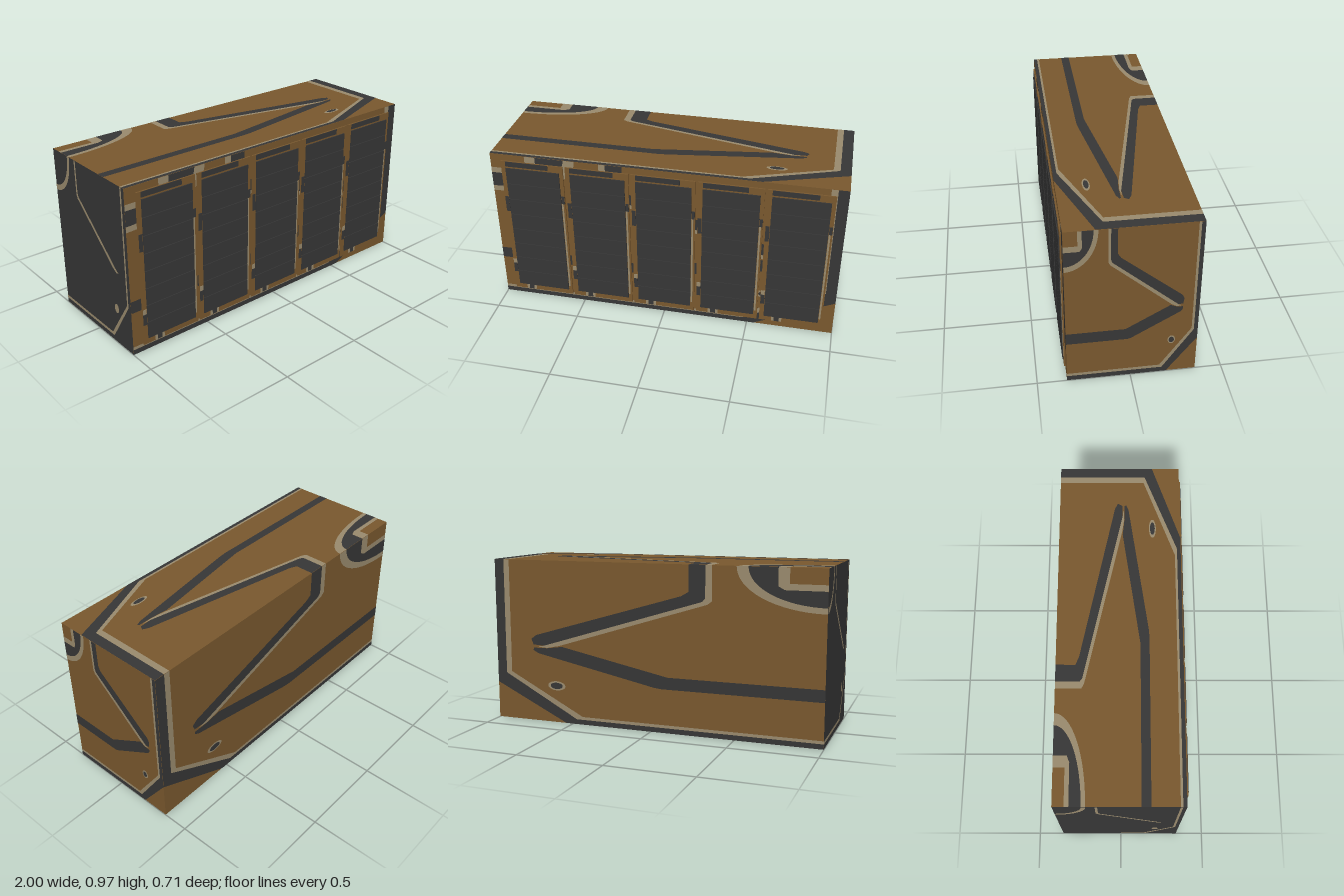
import * as THREE from 'three';

const W = 2, H = 0.97, BACK = -0.355, FRONT = 0.34;
const D = FRONT - BACK, ZC = (FRONT + BACK) / 2;

const mat = (name, color) => {
  const m = new THREE.MeshStandardMaterial({ color });
  m.name = name;
  return m;
};

// Quarter of an ellipse hanging from the upper left corner of a face
const arc = (r, n = 16) => Array.from({ length: n + 1 }, (_, i) => {
  const a = (i / n) * Math.PI / 2;
  return [r * Math.sin(a), 1 - r * Math.cos(a)];
});
const ring = (r0, r1) => [...arc(r1), ...arc(r0).reverse()];
const oval = (r) => Array.from({ length: 20 }, (_, i) => {
  const a = (i / 20) * Math.PI * 2;
  return [0.8 + r * Math.cos(a), 0.23 + r * Math.sin(a)];
});

// Painted pattern in unit coordinates of a face: [name, colour, layer, outline]
const PATTERN = [
  ['arcOuter', 'tan', 1, ring(0.215, 0.248)],
  ['arcInner', 'dark', 1, arc(0.215).concat([[0.133, 1], [0.133, 0.895], [0.115, 0.875], [0, 0.875]])],
  ['cornerBracket', 'tan', 1, [[0, 0.875], [0.115, 0.875], [0.133, 0.895], [0.133, 1], [0.102, 1], [0.102, 0.91], [0, 0.91]]],
  ['chevronUpper', 'dark', 1, [[0.336, 1], [0.384, 1], [0.384, 0.845], [0.406, 0.818], [0.865, 0.54],
    [0.882, 0.515], [0.875, 0.48], [0.84, 0.476], [0.345, 0.79], [0.336, 0.81]]],
  ['chevronEdge', 'tan', 1, [[0.317, 1], [0.317, 0.795], [0.33, 0.775], [0.79, 0.48], [0.83, 0.463],
    [0.862, 0.468], [0.84, 0.476], [0.345, 0.79], [0.336, 0.81], [0.336, 1]]],
  ['chevronLower', 'dark', 1, [[0, 0.336], [0.446, 0.336], [0.78, 0.476], [0.83, 0.461], [0.874, 0.46],
    [0.876, 0.445], [0.86, 0.427], [0.49, 0.27], [0.465, 0.264], [0, 0.264]]],
  ['border', 'dark', 1, [[0, 0], [0.77, 0], [1, 0.228], [1, 1], [0.97, 1], [0.97, 0.29], [0.735, 0.03], [0, 0.03]]],
  ['borderEdge', 'tan', 1, [[0, 0.03], [0.735, 0.03], [0.97, 0.29], [0.97, 1], [0.952, 1], [0.952, 0.3], [0.715, 0.048], [0, 0.048]]],
  ['ovalRing', 'tan', 1, oval(0.029)],
  ['ovalCore', 'dark', 2, oval(0.02)],
];

export function createModel() {
  const root = new THREE.Group();
  root.name = 'container';
  const M = {
    brown: mat('brown paint', 0x79582e),
    dark: mat('dark grey paint', 0x363636),
    tan: mat('pale tan paint', 0x998a6d),
  };

  // Main box; its left-hand end is dark
  const body = new THREE.Mesh(new THREE.BoxGeometry(W, H, D),
    [M.brown, M.dark, M.brown, M.brown, M.brown, M.brown]);
  body.name = 'body';
  body.position.set(0, H / 2, ZC);
  root.add(body);

  // Painted stripes on every face
  function paint(name, w, h, pos, rot, mirror, onlyTan) {
    const g = new THREE.Group();
    g.name = name;
    g.position.set(...pos);
    g.rotation.set(...rot);
    for (const [part, color, layer, pts] of PATTERN) {
      if (onlyTan && (color !== 'tan' || part === 'cornerBracket')) continue;
      const shape = new THREE.Shape(pts.map(([u, v]) =>
        new THREE.Vector2(((mirror ? 1 - u : u) - 0.5) * w, (v - 0.5) * h)));
      const m = new THREE.Mesh(new THREE.ShapeGeometry(shape), M[color]);
      m.name = part;
      m.position.z = layer * 0.0012;
      g.add(m);
    }
    root.add(g);
  }
  const P = Math.PI, Y = H / 2;
  paint('frontPaint', W, H, [0, Y, FRONT], [0, 0, 0], false);
  paint('backPaint', W, H, [0, Y, BACK], [0, P, 0], true);
  paint('topPaint', W, D, [0, H, ZC], [-P / 2, 0, 0], false);
  paint('bottomPaint', W, D, [0, 0, ZC], [P / 2, 0, P], true);
  paint('plusEndPaint', D, H, [W / 2, Y, ZC], [0, P / 2, 0], false);
  paint('minusEndPaint', D, H, [-W / 2, Y, ZC], [0, -P / 2, 0], false, true);

  // Five slatted shutters along the front
  function box(parent, name, m, x0, x1, y0, y1, z0, z1) {
    const b = new THREE.Mesh(new THREE.BoxGeometry(x1 - x0, y1 - y0, z1 - z0), m);
    b.name = name;
    b.position.set((x0 + x1) / 2, (y0 + y1) / 2, (z0 + z1) / 2);
    parent.add(b);
  }
  for (let i = 0; i < 5; i++) {
    const s = new THREE.Group();
    s.name = 'shutter';
    s.position.x = (i - 2) * 0.377;
    box(s, 'shutterFrame', M.brown, -0.182, 0.182, 0.04, 0.932, FRONT - 0.005, 0.349);
    box(s, 'topPlate', M.dark, -0.155, 0.095, 0.9, 0.931, 0.345, 0.351);
    for (let k = 0; k < 8; k++) {
      const y = 0.074 + k * 0.1025;
      box(s, 'slat', M.dark, -0.155, 0.16, y, y + 0.099, 0.345, 0.355);
    }
    // Worn paint on the frame
    box(s, 'edgeStrip', M.tan, 0.162, 0.172, 0.1, 0.69, 0.345, 0.351);
    box(s, 'edgeCap', M.dark, 0.162, 0.18, 0.69, 0.74, 0.345, 0.351);
    box(s, 'sidePatchUpper', M.dark, -0.18, -0.158, 0.6, 0.7, 0.345, 0.351);
    box(s, 'sidePatchLower', M.dark, -0.18, -0.158, 0.16, 0.225, 0.345, 0.351);
    box(s, 'sidePatchPale', M.tan, -0.18, -0.158, 0.225, 0.255, 0.345, 0.351);
    box(s, 'sillPatch', M.dark, -0.095, -0.065, 0.042, 0.07, 0.345, 0.351);
    for (const x of [-0.11, -0.065])
      box(s, 'sillMark', M.tan, x, x + 0.015, 0.042, 0.07, 0.345, 0.351);
    root.add(s);
  }
  return root;
}
